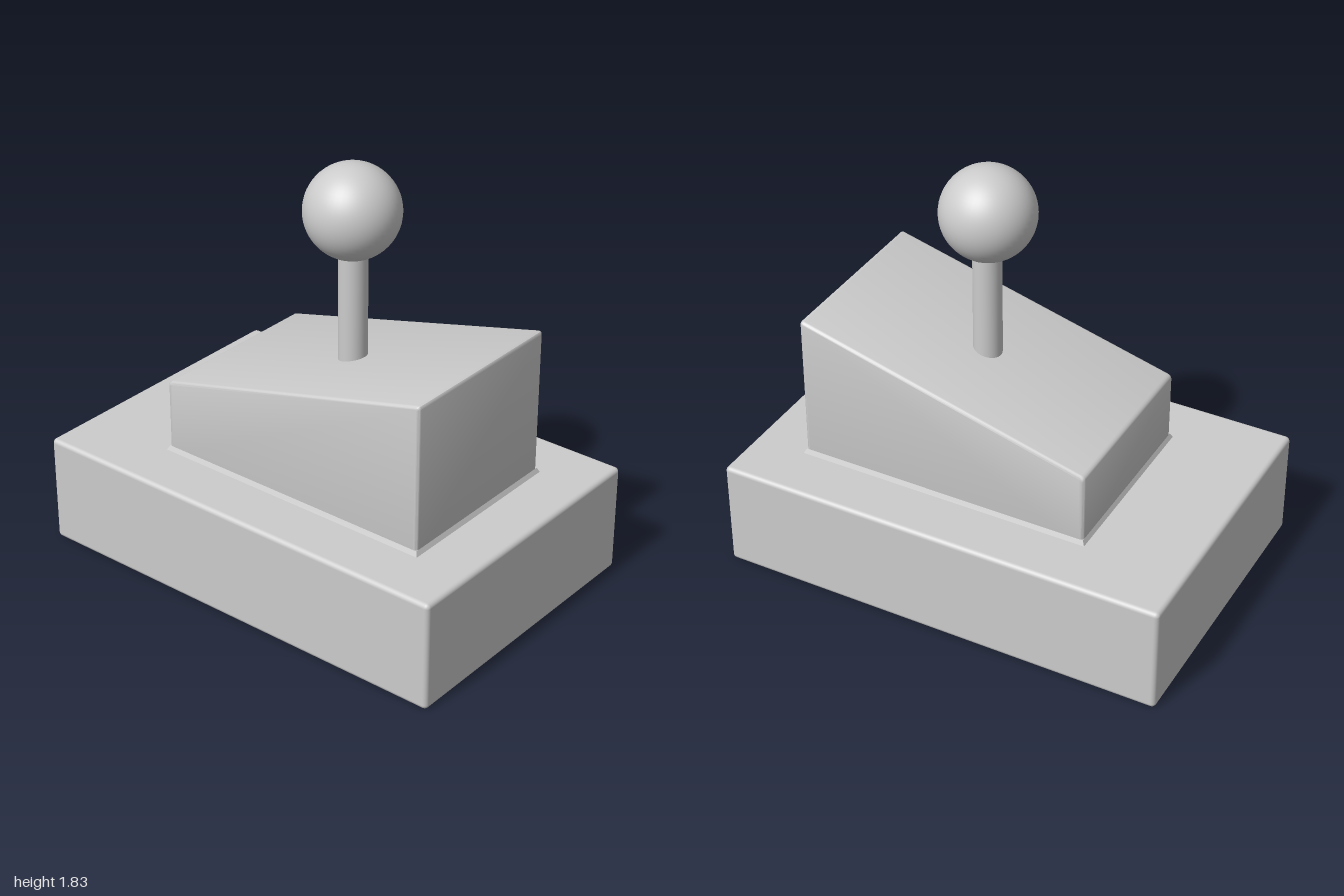
import * as THREE from 'three';
import { toCreasedNormals } from 'three/addons/utils/BufferGeometryUtils.js';
import { RoundedBoxGeometry } from 'three/addons/geometries/RoundedBoxGeometry.js';

const BASE_TOP = 0.485;
const LEVER_Z = 0.105;

// Closed polygon with softly rounded corners
function roundedPolygon(points, radius) {
  const shape = new THREE.Shape();
  const corners = points.map(([x, y]) => new THREE.Vector2(x, y));
  const towards = (a, b) => b.clone().sub(a).setLength(radius).add(a);
  corners.forEach((corner, i) => {
    const start = towards(corner, corners.at(i - 1));
    const end = towards(corner, corners[(i + 1) % corners.length]);
    if (i === 0) shape.moveTo(start.x, start.y);
    else shape.lineTo(start.x, start.y);
    shape.quadraticCurveTo(corner.x, corner.y, end.x, end.y);
  });
  shape.closePath();
  return shape;
}

export function createModel() {
  const model = new THREE.Group();
  const material = new THREE.MeshStandardMaterial({ color: 0xcccccc });

  function add(name, geometry, x, y, z) {
    const mesh = new THREE.Mesh(geometry, material);
    mesh.name = name;
    mesh.position.set(x, y, z);
    model.add(mesh);
  }

  // Base slab
  add('base', new RoundedBoxGeometry(1.325, BASE_TOP, 2, 3, 0.02), 0, BASE_TOP / 2, 0);

  // Sloped housing: side profile extruded across the width, high end at the front
  const bevel = 0.015;
  const width = 0.82;
  const profile = roundedPolygon([[-0.752, 0.45], [0.548, 0.45], [0.548, 0.81], [-0.752, 1.147]], 0.02);
  const housing = new THREE.ExtrudeGeometry(profile, {
    depth: width - 2 * bevel, curveSegments: 4,
    bevelThickness: bevel, bevelSize: bevel, bevelOffset: -bevel, bevelSegments: 3,
  });
  housing.translate(0, 0, -(width / 2 - bevel)).rotateY(Math.PI / 2);
  add('housing', toCreasedNormals(housing, 0.6), 0, 0, 0);

  // Small flared skirt where the housing meets the base
  const skirt = new THREE.BoxGeometry(width + 0.03, 0.03, 1.33);
  const corners = skirt.attributes.position;
  for (let i = 0; i < corners.count; i++) {
    if (corners.getY(i) < 0) continue;
    corners.setX(i, Math.sign(corners.getX(i)) * width / 2);
    corners.setZ(i, Math.sign(corners.getZ(i)) * 0.65);
  }
  skirt.computeVertexNormals();
  add('housingSkirt', skirt, 0, BASE_TOP + 0.005, 0.102);

  // Lever rod and ball knob
  add('leverRod', new THREE.CylinderGeometry(0.061, 0.061, 0.6, 40), 0, 1.18, LEVER_Z);
  add('knob', new THREE.SphereGeometry(0.2, 48, 32), 0, 1.625, LEVER_Z - 0.005);

  return model;
}
